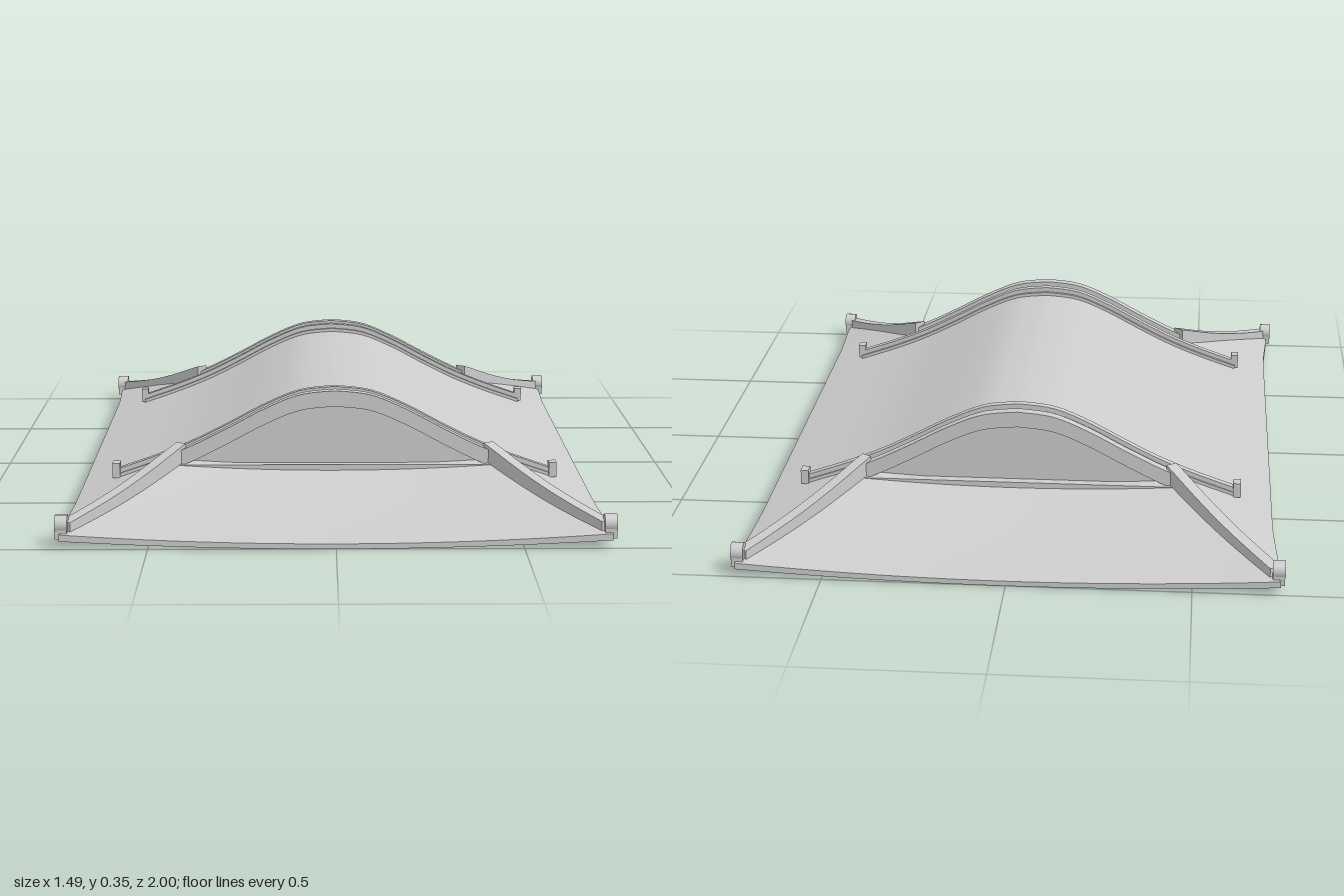
import * as THREE from 'three';
import { toCreasedNormals } from 'three/addons/utils/BufferGeometryUtils.js';

const material = new THREE.MeshStandardMaterial({ color: 0xcccccc, side: THREE.DoubleSide });
const lerp = THREE.MathUtils.lerp;

// Height of the bell-shaped roof across its width
const bell = new THREE.SplineCurve([
  [0, 0.325], [0.1, 0.313], [0.2, 0.272], [0.3, 0.219], [0.4, 0.169],
  [0.5, 0.128], [0.6, 0.093], [0.72, 0.052],
].map(([x, y]) => new THREE.Vector2(x, y))).getSpacedPoints(80);

function roofY(x) {
  const ax = Math.min(Math.abs(x), 0.72);
  const i = Math.max(1, bell.findIndex((p) => p.x >= ax - 1e-9));
  const a = bell[i - 1], b = bell[i];
  return lerp(a.y, b.y, (ax - a.x) / (b.x - a.x));
}

// Corner sweep along the side eave: 0 on the long run, 1 at the corner
const flare = (z) => THREE.MathUtils.smoothstep(Math.abs(z), 0.65, 1);
const sideX = (z) => 0.72 + 0.015 * flare(z);
const sideTop = (z) => 0.052 - 0.012 * flare(z);
const sideBottom = (z) => 0.022;
const endTop = (u) => 0.014 + 0.026 * u * u;
const endBottom = (u) => 0.022 * u * u;

// Smooth sheet from f(u, v) -> [x, y, z], facing du x dv
function sheet(f, nu, nv) {
  const pos = [], index = [];
  for (let j = 0; j <= nv; j++) for (let i = 0; i <= nu; i++) pos.push(...f(i / nu, j / nv));
  for (let j = 0; j < nv; j++) {
    for (let i = 0; i < nu; i++) {
      const a = j * (nu + 1) + i, b = a + 1, c = a + nu + 1, d = c + 1;
      index.push(a, b, d, a, d, c);
    }
  }
  const g = new THREE.BufferGeometry();
  g.setAttribute('position', new THREE.Float32BufferAttribute(pos, 3));
  g.setIndex(index);
  g.computeVertexNormals();
  return g;
}

function add(parent, name, geometry, x = 0, y = 0, z = 0) {
  const mesh = new THREE.Mesh(geometry, material);
  mesh.name = name;
  mesh.position.set(x, y, z);
  parent.add(mesh);
  return mesh;
}

// Band between two height curves, extruded to a centred depth
function band(x0, x1, low, high, depth, n = 48) {
  const pts = [];
  for (let i = 0; i <= n; i++) {
    const x = lerp(x0, x1, i / n);
    pts.push(new THREE.Vector2(x, low(x)));
  }
  for (let i = n; i >= 0; i--) {
    const x = lerp(x0, x1, i / n);
    pts.push(new THREE.Vector2(x, high(x)));
  }
  const g = new THREE.ExtrudeGeometry(new THREE.Shape(pts), { depth, bevelEnabled: false });
  return toCreasedNormals(g.translate(0, 0, -depth / 2), 0.5);
}

// Long side: eave edge, soffit and recess wall, facing +x
function buildSide() {
  const g = new THREE.Group();
  g.name = 'longSide';
  add(g, 'sideEaveEdge', sheet((u, v) => {
    const z = lerp(-1, 1, v);
    return [sideX(z), lerp(sideBottom(z), sideTop(z), u), z];
  }, 1, 40));
  add(g, 'sideSoffit', sheet((u, v) => {
    const s = 2 * v - 1;
    return [lerp(0.45, sideX(s), u), 0.022, s * lerp(0.62, 1, u)];
  }, 2, 40));
  add(g, 'sideRecessWall', sheet((u, v) => [0.45, lerp(0.022, 0.14, v), lerp(-0.62, 0.62, u)], 1, 1));
  return g;
}

// Gable end: skirt roof, eave, gable wall, arch and raised ribs, facing +z
function buildEnd() {
  const g = new THREE.Group();
  g.name = 'gableEnd';
  add(g, 'skirtRoof', sheet((u, v) => {
    const s = 2 * v - 1;
    const y = lerp(0.136 + 0.016 * s * s, endTop(s), u) - 0.012 * Math.sin(Math.PI * u);
    return [s * lerp(0.44, 0.735, u), y, lerp(0.588, 1, u)];
  }, 12, 32));
  add(g, 'endEaveEdge', sheet((u, v) => {
    const s = 2 * u - 1;
    return [0.735 * s, lerp(endBottom(s), endTop(s), v), 1];
  }, 32, 1));
  add(g, 'endSoffit', sheet((u, v) => {
    const s = 2 * u - 1;
    return [s * lerp(0.45, 0.735, v), endBottom(s), lerp(0.62, 1, v)];
  }, 32, 2));
  add(g, 'endRecessWall', sheet((u, v) => {
    const s = 2 * u - 1;
    return [0.45 * s, lerp(endBottom(s), 0.14, v), 0.62];
  }, 32, 1));

  // Recessed gable wall under a curved arch
  add(g, 'gableWall', band(-0.43, 0.43, () => 0.125, (x) => roofY(x), 0.006), 0, 0, 0.59);
  add(g, 'gableArch', band(-0.445, 0.445, (x) => roofY(x) - 0.02, (x) => roofY(x) + 0.025, 0.03), 0, 0, 0.597);

  // Stepped rib running over the roof, with end blocks
  add(g, 'ribBase', band(-0.62, 0.62, (x) => roofY(x) - 0.008, (x) => roofY(x) + 0.01, 0.036), 0, 0, 0.532);
  add(g, 'ribCap', band(-0.62, 0.62, roofY, (x) => roofY(x) + 0.024, 0.022), 0, 0, 0.534);

  const L = Math.hypot(0.28, 0.375);
  for (const side of [-1, 1]) {
    add(g, 'ribEnd', new THREE.BoxGeometry(0.022, 0.042, 0.034), side * 0.62, 0.109, 0.54);

    // Hip ridge down to the corner
    const sag = (x) => 0.012 * Math.sin(Math.PI * THREE.MathUtils.clamp(x / L, 0, 1));
    const hip = add(g, 'hipRidge', band(-0.012, L, (x) => lerp(0.14, 0.03, x / L) - sag(x),
      (x) => lerp(0.193, 0.068, x / L) - sag(x), 0.034, 12), side * 0.44, 0, 0.595);
    hip.rotation.y = -Math.atan2(0.375, side * 0.28);

    // Rounded corner finial
    add(g, 'cornerBlock', new THREE.BoxGeometry(0.032, 0.04, 0.044), side * 0.73, 0.045, 0.97);
    const knob = add(g, 'cornerKnob', new THREE.CylinderGeometry(0.025, 0.025, 0.034, 16), side * 0.73, 0.062, 0.97);
    knob.rotation.z = Math.PI / 2;
  }
  return g;
}

export function createModel() {
  const model = new THREE.Group();
  model.name = 'curvedRoof';

  // Main roof sheet, widening lengthwise from the gables to the corners
  add(model, 'mainRoof', sheet((u, v) => {
    const s = 2 * v - 1, a = Math.abs(s);
    const x = 0.72 * s;
    const k = Math.max(0, (Math.abs(x) - 0.43) / 0.29);
    const z = (2 * u - 1) * lerp(0.6, 1, k);
    const f = flare(z) * a * k;
    return [x + Math.sign(s) * 0.015 * f, roofY(x) - 0.012 * f, z];
  }, 40, 72));

  // Flat ceiling of the underside recess
  add(model, 'recessCeiling', sheet((u, v) => [lerp(-0.45, 0.45, u), 0.14, lerp(-0.62, 0.62, v)], 1, 1));

  for (const turn of [0, Math.PI]) {
    for (const part of [buildSide(), buildEnd()]) {
      part.rotation.y = turn;
      model.add(part);
    }
  }
  return model;
}
